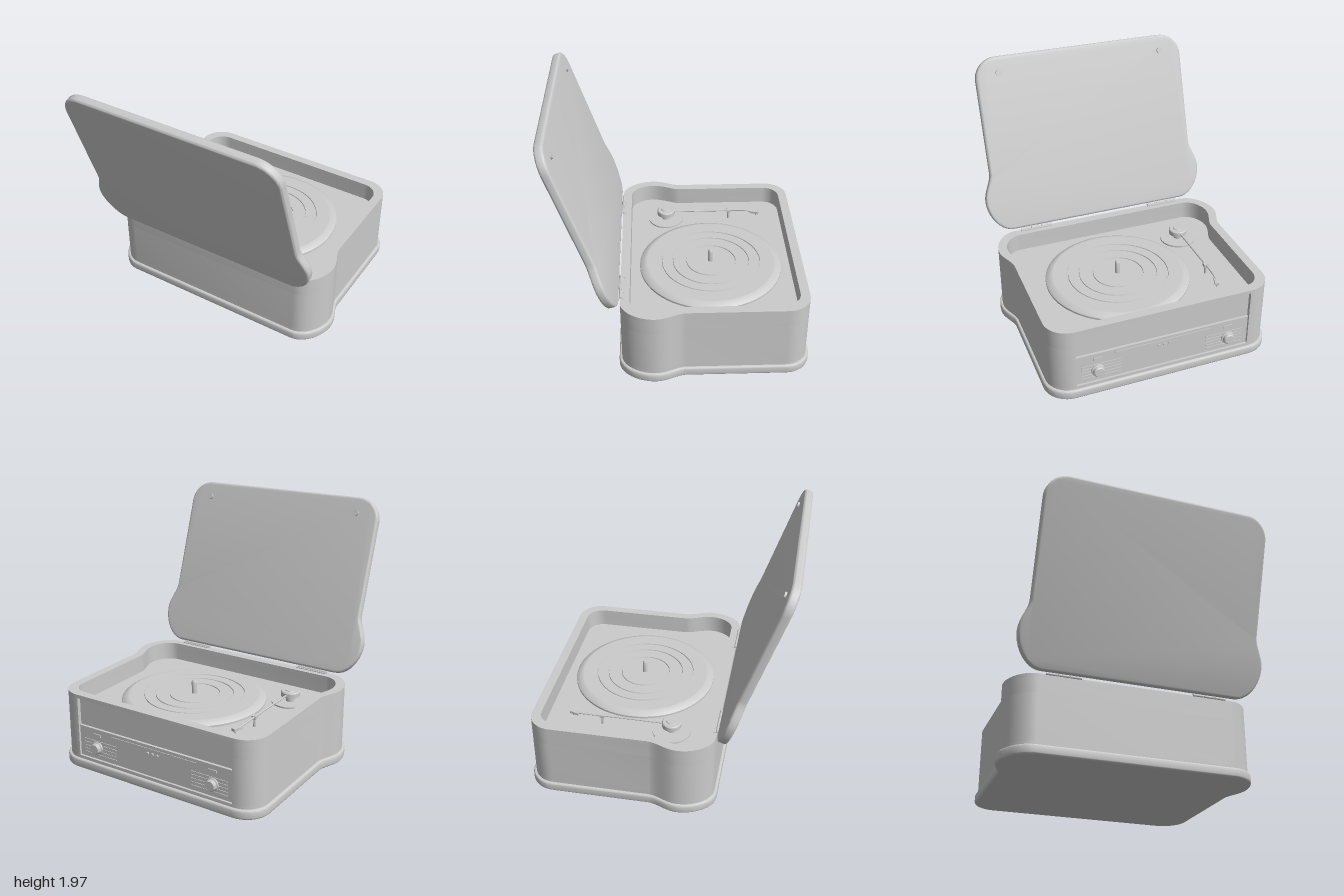
import * as THREE from 'three';
import { toCreasedNormals } from 'three/addons/utils/BufferGeometryUtils.js';

const material = new THREE.MeshStandardMaterial({ color: 0xcccccc });

function add(parent, name, geometry, x = 0, y = 0, z = 0) {
  const mesh = new THREE.Mesh(geometry, material);
  mesh.name = name;
  mesh.position.set(x, y, z);
  parent.add(mesh);
  return mesh;
}

const box = (w, h, d) => new THREE.BoxGeometry(w, h, d);
const disc = (r, h, n = 32, top = r) => new THREE.CylinderGeometry(top, r, h, n);

function lathe(points, segments = 64) {
  const profile = points.map(([r, y]) => new THREE.Vector2(r, y));
  return toCreasedNormals(new THREE.LatheGeometry(profile, segments), 0.5);
}

// Cabinet plan (shape y = -z), inset by d: narrow at the panel end, bulging at the hinge end
function plan(Target, d = 0, notch = 0) {
  const s = new Target();
  const w = 0.89 - d, wide = 0.955 - d, back = 0.97 - d, hinge = -0.47 + d;
  const r = 0.18 - d * 0.7, c = 0.2 - d * 0.7;
  const k = 0.45;
  s.moveTo(-wide + c, hinge);
  s.lineTo(wide - c, hinge);
  s.bezierCurveTo(wide - c * k, hinge, wide, -0.335 + d * 0.4, wide, -0.21);
  s.bezierCurveTo(wide, -0.12, w + 0.005, -0.05, w, 0.02);
  s.lineTo(w, back - r);
  s.bezierCurveTo(w, back - r * k, w - r * k, back, w - r, back);
  if (notch) {
    s.lineTo(0.7, back);
    s.lineTo(0.7, back - notch);
    s.lineTo(-0.7, back - notch);
    s.lineTo(-0.7, back);
  }
  s.lineTo(-w + r, back);
  s.bezierCurveTo(-w + r * k, back, -w, back - r * k, -w, back - r);
  s.lineTo(-w, 0.02);
  s.bezierCurveTo(-w - 0.005, -0.05, -wide, -0.12, -wide, -0.21);
  s.bezierCurveTo(-wide, -0.335 + d * 0.4, -wide + c * k, hinge, -wide + c, hinge);
  return s;
}

function extrude(shape, height, bevel = 0) {
  const geometry = new THREE.ExtrudeGeometry(shape, {
    depth: height - 2 * bevel, curveSegments: 10, bevelEnabled: bevel > 0,
    bevelSize: bevel, bevelThickness: bevel, bevelOffset: -bevel, bevelSegments: 3,
  });
  geometry.translate(0, 0, bevel);
  return toCreasedNormals(geometry, 0.6);
}

// Horizontal slice of the cabinet between two heights
function slab(parent, name, y0, y1, { inset = 0, notch = 0, open = false, bevel = 0 } = {}) {
  const shape = plan(THREE.Shape, inset, notch);
  if (open) shape.holes.push(plan(THREE.Path, 0.072));
  const geometry = extrude(shape, y1 - y0, bevel).rotateX(-Math.PI / 2);
  return add(parent, name, geometry, 0, y0, 0);
}

function buildCabinet() {
  const g = new THREE.Group();
  g.name = 'cabinet';
  slab(g, 'plinth', 0, 0.075, { inset: -0.021, bevel: 0.015 });
  slab(g, 'lowerRail', 0.07, 0.1);
  slab(g, 'body', 0.1, 0.46, { notch: 0.03 });
  slab(g, 'trayWall', 0.46, 0.58, { notch: 0.03, open: true });
  slab(g, 'rim', 0.58, 0.608, { open: true });
  return g;
}

function buildTurntable() {
  const g = new THREE.Group();
  g.name = 'turntable';
  g.position.set(0.11, 0.46, -0.25);
  // Platter with sunken rings
  const profile = [[0.575, 0], [0.575, 0.015], [0.565, 0.025], [0.525, 0.045], [0.515, 0.045]];
  for (const r of [0.4, 0.31, 0.2]) {
    profile.push([r + 0.006, 0.045], [r + 0.004, 0.038], [r - 0.004, 0.038], [r - 0.006, 0.045]);
  }
  profile.push([0, 0.045]);
  add(g, 'platter', lathe(profile));
  add(g, 'spindle', lathe([[0.02, 0.04], [0.02, 0.14], [0.013, 0.153], [0, 0.156]], 20));
  return g;
}

function buildTonearm() {
  const g = new THREE.Group();
  g.name = 'tonearm';
  g.position.set(-0.57, 0.46, 0.1);
  add(g, 'armBase', disc(0.148, 0.012, 40), 0, 0.006, 0);
  add(g, 'armPost', disc(0.035, 0.06, 24), 0, 0.04, 0);
  add(g, 'armPivot', lathe([[0, 0.055], [0.075, 0.055], [0.075, 0.09], [0.068, 0.098],
    [0.04, 0.098], [0.036, 0.105], [0, 0.105]], 32));
  const path = new THREE.CatmullRomCurve3([
    new THREE.Vector3(0, 0.075, -0.05), new THREE.Vector3(0, 0.078, -0.4),
    new THREE.Vector3(0, 0.076, -0.7), new THREE.Vector3(0.008, 0.07, -0.76),
  ]);
  add(g, 'armTube', new THREE.TubeGeometry(path, 24, 0.008, 10));
  add(g, 'headshell', box(0.032, 0.02, 0.075), 0.014, 0.066, -0.775).rotation.y = -0.3;
  add(g, 'stylus', disc(0.004, 0.025, 8, 0.008), 0.018, 0.047, -0.79);
  // Arm rest
  add(g, 'restPost', disc(0.01, 0.07, 12), 0, 0.035, -0.55);
  add(g, 'restClip', box(0.036, 0.025, 0.036), 0, 0.076, -0.55);
  return g;
}

function buildPanel() {
  const g = new THREE.Group();
  g.name = 'controlPanel';
  const face = -0.95;
  add(g, 'controlPlate', box(1.396, 0.24, 0.02), 0, 0.222, -0.945);
  add(g, 'divider', box(1.396, 0.012, 0.022), 0, 0.35, -0.95);
  add(g, 'dialSlot', box(0.78, 0.01, 0.008), 0, 0.323, face - 0.006);
  for (const x of [-0.045, 0, 0.045]) {
    add(g, 'button', disc(0.012, 0.014, 16).rotateX(Math.PI / 2), x, 0.285, face - 0.009);
  }
  for (const side of [-1, 1]) {
    const x = side * 0.53;
    add(g, 'indicator', box(0.07, 0.022, 0.01), x, 0.303, face - 0.007);
    for (let i = 0; i < 5; i++) {
      add(g, 'grilleBar', box(0.31, 0.008, 0.008), side * 0.5, 0.14 + i * 0.028, face - 0.006);
    }
    const knob = lathe([[0.052, 0], [0.052, 0.014], [0.043, 0.018], [0.042, 0.038], [0.036, 0.045], [0, 0.045]], 32);
    add(g, 'knob', knob.rotateX(-Math.PI / 2), x, 0.2, face - 0.003);
  }
  return g;
}

function buildLid() {
  const g = new THREE.Group();
  g.name = 'lid';
  g.position.set(0, 0.622, 0.475);
  g.rotation.x = 0.327;
  const panel = extrude(plan(THREE.Shape), 0.07, 0.018);
  panel.translate(0, 0.47, 0).scale(1, 0.993, 1);
  add(g, 'lidPanel', panel);
  // Rubber stops on the inner face
  for (const x of [-0.7, 0.7]) {
    add(g, 'lidStop', disc(0.025, 0.016, 20).rotateX(Math.PI / 2), x, 1.3, -0.007);
  }
  return g;
}

function buildHinges() {
  const g = new THREE.Group();
  g.name = 'hinges';
  for (const side of [-1, 1]) {
    add(g, 'hingeLeaf', box(0.27, 0.008, 0.025), side * 0.57, 0.61, 0.455);
    for (const dx of [-0.09, 0, 0.09]) {
      add(g, 'hingeKnuckle', disc(0.01, 0.085, 12).rotateZ(Math.PI / 2), side * 0.57 + dx, 0.614, 0.468);
    }
  }
  return g;
}

export function createModel() {
  const model = new THREE.Group();
  model.name = 'recordPlayer';
  model.add(buildCabinet(), buildTurntable(), buildTonearm(), buildPanel(), buildLid(), buildHinges());
  return model;
}
